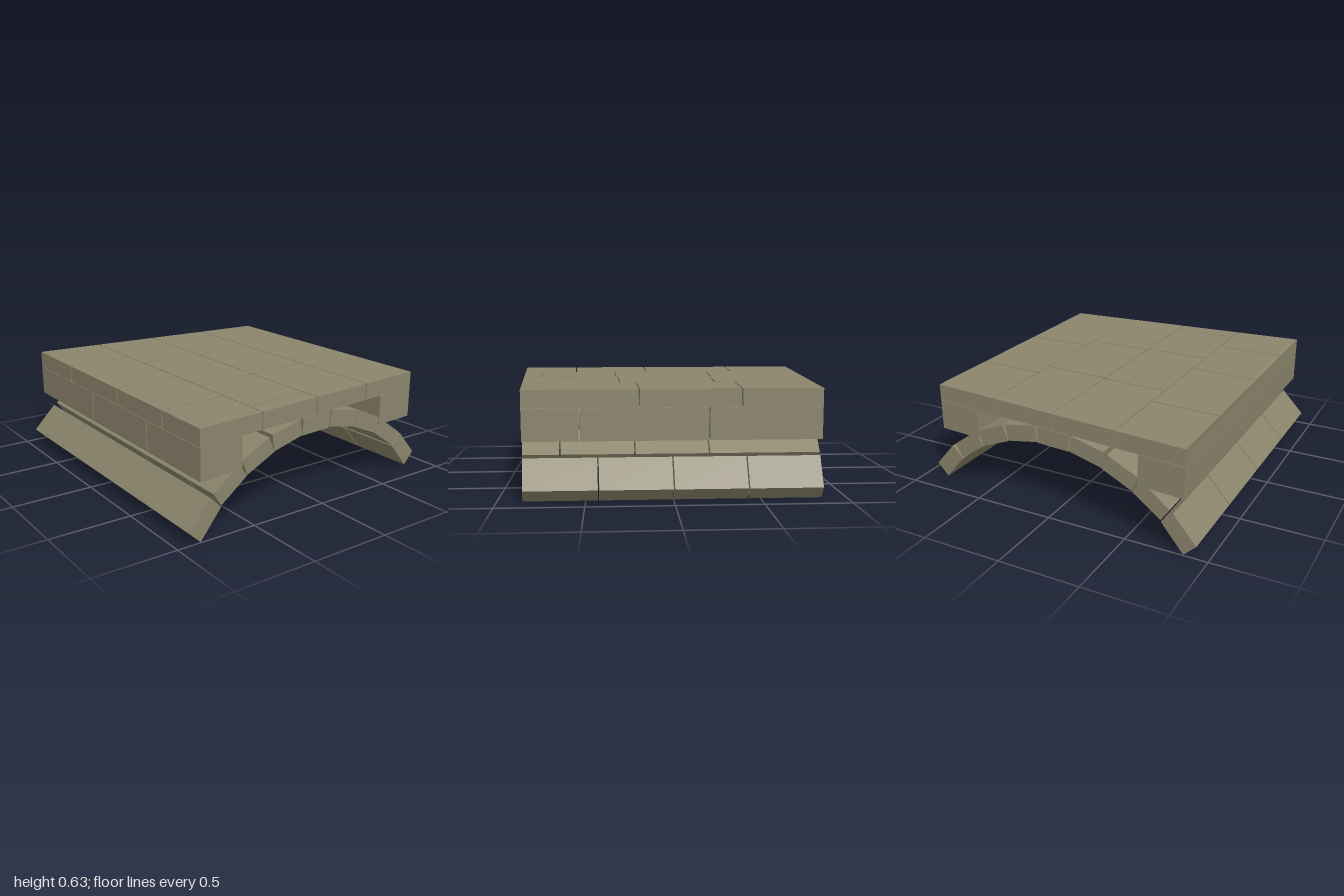
import * as THREE from 'three';

const GAP = 0.008; // joint between neighbouring stones

// The bridge tapers: half of its width at depth z
const halfWidth = (z) => 0.925 + 0.0815 * z;

export function createModel() {
  const bridge = new THREE.Group();
  bridge.name = 'stoneArchBridge';
  const stone = new THREE.MeshStandardMaterial({ color: 0x8b856c });
  stone.name = 'stone';

  // One stone: a (z, y) profile running across the bridge from share u0 to u1 of the half width
  function block(name, profile, u0, u1) {
    const shape = new THREE.Shape(profile.map(([z, y]) => new THREE.Vector2(z, y)));
    const geometry = new THREE.ExtrudeGeometry(shape, { depth: 1, bevelEnabled: false });
    const p = geometry.attributes.position;
    for (let i = 0; i < p.count; i++) {
      const z = p.getX(i), y = p.getY(i), w = halfWidth(z);
      const left = u1 * w - (u1 < 1 ? GAP / 2 : 0);
      const right = u0 * w + (u0 > -1 ? GAP / 2 : 0);
      p.setXYZ(i, THREE.MathUtils.lerp(left, right, p.getZ(i)), y, z);
    }
    geometry.computeVertexNormals();
    const mesh = new THREE.Mesh(geometry, stone);
    mesh.name = name;
    return mesh;
  }

  // A course of stones, split at the given joints
  function course(name, profile, joints) {
    const group = new THREE.Group();
    group.name = name;
    const ends = [-1, ...joints, 1];
    for (let i = 0; i < ends.length - 1; i++) {
      group.add(block(`${name}Stone${i + 1}`, profile, ends[i], ends[i + 1]));
    }
    bridge.add(group);
  }

  const rect = (z0, z1, y0, y1) => [[z0, y0], [z1, y0], [z1, y1], [z0, y1]];
  const mirror = (profile) => profile.map(([z, y]) => [-z, y]);

  // Arch ring, from the footing up to the crown, on both sides
  const even = [-0.5, 0, 0.5], odd = [-0.25, 0.25, 0.75];
  const ring = [
    [[0.93, 0.075], [0.853, 0], [0.712, 0.162], [0.785, 0.235]],
    [[0.765, 0.25], [0.71, 0.17], [0.53, 0.293], [0.585, 0.373]],
    [[0.565, 0.39], [0.53, 0.295], [0.33, 0.38], [0.368, 0.474]],
    [[0.345, 0.484], [0.33, 0.383], [0.115, 0.428], [0.133, 0.527]],
  ];
  ring.forEach((profile, i) => {
    const joints = i % 2 ? odd : even;
    course(`frontArch${i + 1}`, profile, joints);
    course(`backArch${i + 1}`, mirror(profile), joints);
  });
  course('keystone', rect(-0.108, 0.108, 0.425, 0.527), even);

  // Supports under both ends of the deck
  course('frontSupport', rect(0.565, 0.85, 0.34, 0.527), [-0.216, 0.453]);
  course('backSupport', rect(-0.85, -0.565, 0.34, 0.527), [-0.24, 0.62]);

  // Deck slabs in four rows
  const rows = [
    [-0.85, -0.427, [-0.456, 0.225]],
    [-0.421, -0.003, [-0.32, 0.336]],
    [0.003, 0.418, [-0.334, 0.346, 0.875]],
    [0.424, 0.85, [-0.523, 0.111, 0.625]],
  ];
  rows.forEach(([z0, z1, joints], i) => course(`deckRow${i + 1}`, rect(z0, z1, 0.53, 0.633), joints));

  return bridge;
}
